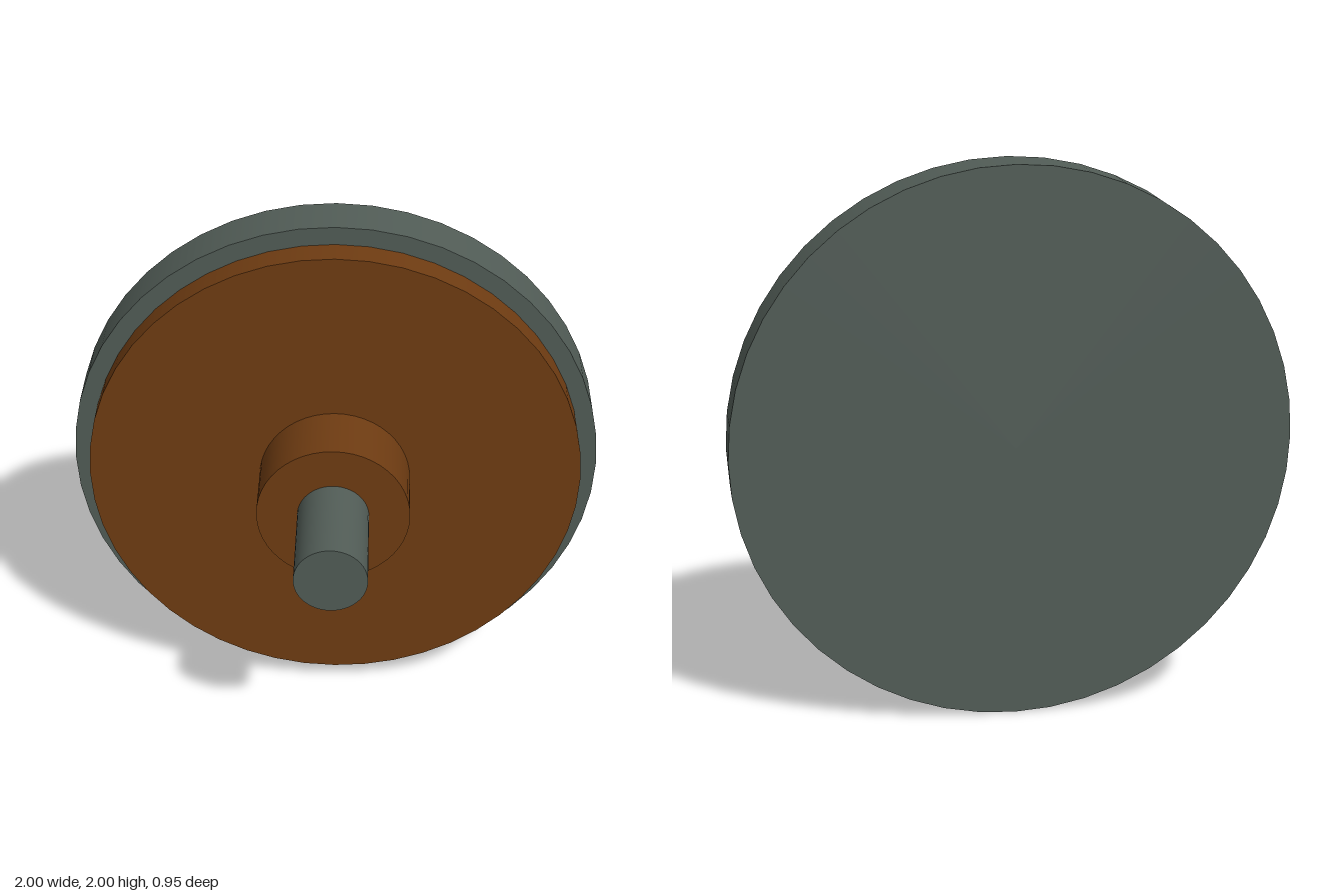
import * as THREE from 'three';

export function createModel() {
  const model = new THREE.Group();
  model.name = 'flangedWheel';

  const steel = new THREE.MeshStandardMaterial({ color: 0x525d57 });
  steel.name = 'grey steel';
  const wood = new THREE.MeshStandardMaterial({ color: 0x6f3c12 });
  wood.name = 'brown wood';

  // Disc or shaft lying along z, between two depths
  function addDisc(name, radius, back, front, material) {
    const geometry = new THREE.CylinderGeometry(radius, radius, front - back, 48);
    geometry.rotateX(Math.PI / 2);
    const mesh = new THREE.Mesh(geometry, material);
    mesh.name = name;
    mesh.position.set(0, 1, (front + back) / 2);
    model.add(mesh);
  }

  addDisc('rim', 1, -0.475, -0.285, steel);
  addDisc('facePlate', 0.932, -0.285, -0.175, wood);
  addDisc('hub', 0.285, -0.175, 0.08, wood);
  addDisc('axle', 0.133, 0.08, 0.475, steel);

  return model;
}
